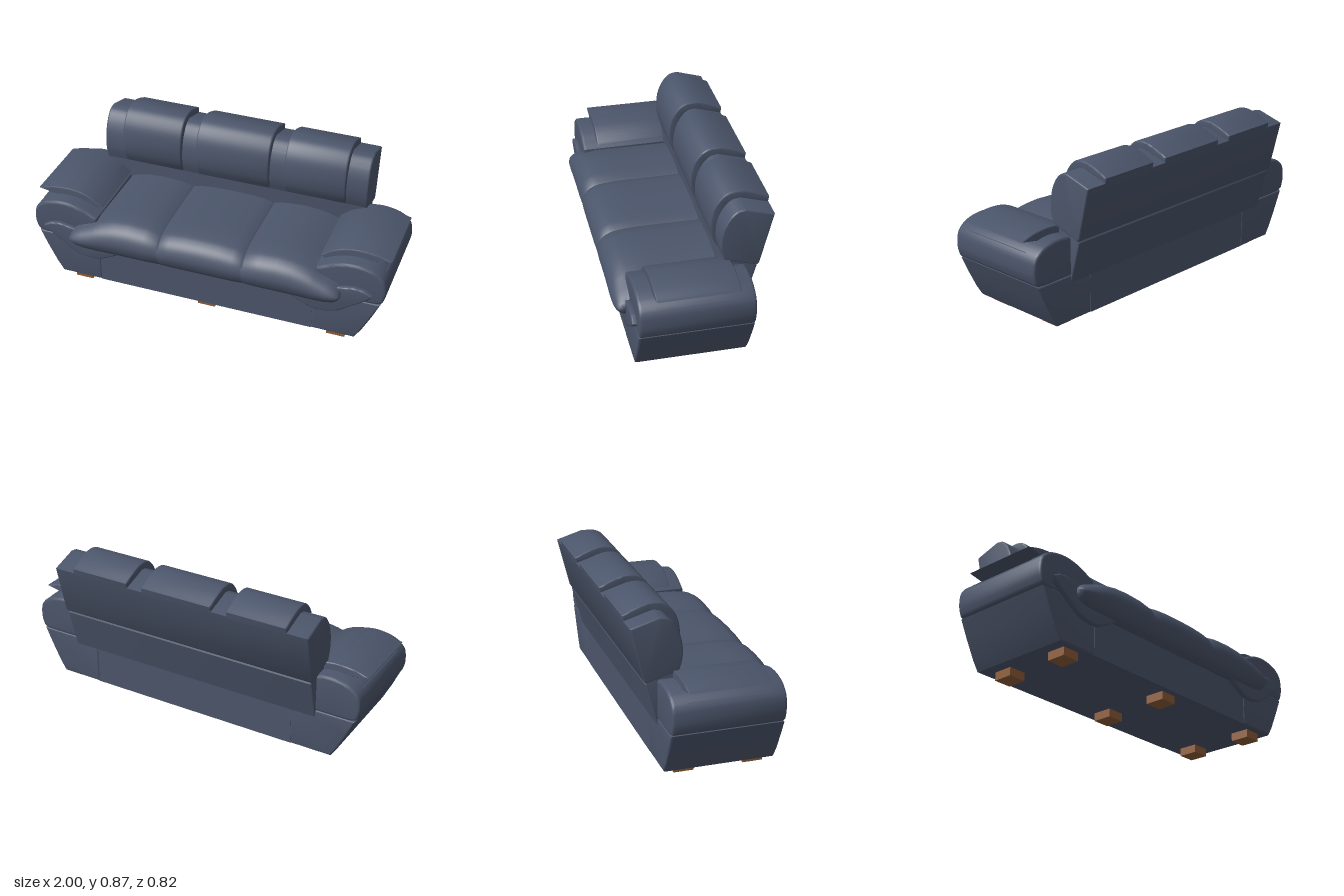
import * as THREE from 'three';
import { toCreasedNormals } from 'three/addons/utils/BufferGeometryUtils.js';

const leather = new THREE.MeshStandardMaterial({ color: 0x4b556a });
leather.name = 'slate leather';
const wood = new THREE.MeshStandardMaterial({ color: 0x8f5c38 });
wood.name = 'brown wood';

const vec = (pts) => pts.map(([a, b]) => new THREE.Vector2(a, b));
const smooth = (pts, n) => new THREE.SplineCurve(vec(pts)).getPoints(n);

// Extrude an outline from depth d0 to d1 with softly rounded rims
function slab(points, d0, d1, bevel) {
  const geo = new THREE.ExtrudeGeometry(new THREE.Shape(points), {
    depth: d1 - d0 - 2 * bevel, bevelSize: bevel, bevelThickness: bevel,
    bevelOffset: -bevel, bevelSegments: 3, steps: 1,
  });
  geo.translate(0, 0, d0 + bevel);
  return toCreasedNormals(geo, 0.6);
}

// Outline given as (z, y) pairs, extruded along x
function sideSlab(points, x0, x1, bevel) {
  const flipped = points.map((p) => new THREE.Vector2(-p.x, p.y));
  return slab(flipped, x0, x1, bevel).rotateY(Math.PI / 2);
}

// Seat cushion: cross-sections lofted along x
function seatGeometry() {
  // x, top, bottom, front z, back z
  const half = [
    [0, 0.48, 0.265, 0.408, -0.25], [0.1, 0.478, 0.265, 0.408, -0.25],
    [0.18, 0.471, 0.265, 0.407, -0.25], [0.228, 0.461, 0.266, 0.405, -0.25],
    [0.237, 0.454, 0.268, 0.402, -0.25], [0.246, 0.461, 0.266, 0.405, -0.25],
    [0.32, 0.475, 0.265, 0.408, -0.25], [0.42, 0.48, 0.265, 0.408, -0.25],
    [0.5, 0.474, 0.265, 0.408, -0.25], [0.57, 0.459, 0.265, 0.408, -0.25],
    [0.61, 0.445, 0.265, 0.408, -0.25], [0.62, 0.441, 0.265, 0.408, 0.27],
    [0.645, 0.43, 0.266, 0.407, 0.318], [0.69, 0.412, 0.268, 0.405, 0.32],
    [0.73, 0.394, 0.275, 0.399, 0.322], [0.752, 0.377, 0.287, 0.392, 0.328],
    [0.764, 0.36, 0.303, 0.383, 0.335], [0.768, 0.335, 0.33, 0.365, 0.355],
  ];
  const stations = [...half.slice(1).reverse().map(([x, ...r]) => [-x, ...r]), ...half];
  // distance behind the front, height fraction
  const section = [
    [0.66, 0], [0.3, 0], [0.09, 0], [0.06, 0.01], [0.035, 0.06], [0.014, 0.2], [0, 0.42], [0.01, 0.62],
    [0.03, 0.77], [0.06, 0.88], [0.1, 0.95], [0.2, 1], [0.4, 1], [0.66, 1],
  ];
  const profile = smooth(section, 39);
  const n = profile.length;
  const pos = [], idx = [];
  stations.forEach(([x, top, bottom, front, back], i) => {
    profile.forEach((p, j) => {
      pos.push(x, bottom + (top - bottom) * p.y, Math.max(back, front - p.x));
      if (i === stations.length - 1) return;
      const a = i * n + j, c = i * n + ((j + 1) % n);
      idx.push(a, a + n, c, a + n, c + n, c);
    });
  });
  const geo = new THREE.BufferGeometry();
  geo.setAttribute('position', new THREE.Float32BufferAttribute(pos, 3));
  geo.setIndex(idx);
  return toCreasedNormals(geo, 0.9);
}

export function createModel() {
  const group = new THREE.Group();
  const add = (name, geo, mat = leather) => {
    const mesh = new THREE.Mesh(geo, mat);
    mesh.name = name;
    group.add(mesh);
    return mesh;
  };

  // Legs
  for (const x of [-0.735, 0, 0.735]) {
    for (const z of [0.232, -0.138]) {
      add('leg', new THREE.BoxGeometry(0.1, 0.05, 0.107), wood).position.set(x, 0.025, z);
    }
  }

  // Middle of the base
  add('baseCentre', new THREE.BoxGeometry(1.22, 0.255, 0.583)).position.set(0, 0.1725, 0.03);

  // Arms: outlines for the left, mirrored for the right
  const basePoints = vec([[0.608, 0.045], [0.845, 0.045], [0.88, 0.1], [0.93, 0.2], [0.972, 0.295], [0.608, 0.295]]);
  const armPoints = smooth([
    [0.62, 0.295], [0.8, 0.292], [0.955, 0.295], [0.988, 0.33], [0.995, 0.39], [0.98, 0.45],
    [0.92, 0.495], [0.82, 0.512], [0.72, 0.495], [0.62, 0.45],
  ], 36);
  const padPoints = [
    ...smooth([[0.975, 0.46], [0.9, 0.49], [0.82, 0.5], [0.72, 0.485], [0.625, 0.45]], 12).reverse(),
    ...smooth([[0.998, 0.52], [0.92, 0.543], [0.83, 0.551], [0.75, 0.543], [0.68, 0.515], [0.62, 0.47]], 16).reverse(),
  ];
  const panelPoints = [
    ...smooth([[0.93, 0.355], [0.905, 0.325], [0.82, 0.265], [0.74, 0.213], [0.63, 0.196], [0.54, 0.23], [0.46, 0.275]], 20),
    ...smooth([[0.48, 0.33], [0.62, 0.35], [0.76, 0.372], [0.83, 0.385], [0.89, 0.378]], 12),
  ];
  for (const side of [1, -1]) {
    const mirror = (pts) => (side > 0 ? pts : pts.map((p) => new THREE.Vector2(-p.x, p.y)));
    const label = side > 0 ? 'left' : 'right';
    add(label + 'ArmBase', slab(mirror(basePoints), -0.265, 0.325, 0.012));
    add(label + 'Arm', slab(mirror(armPoints), -0.265, 0.325, 0.015));
    add(label + 'ArmPad', slab(mirror(padPoints), -0.185, 0.242, 0.006));
    add(label + 'FrontPanel', slab(mirror(panelPoints), 0.31, 0.349, 0.008));
  }

  add('seatCushion', seatGeometry());

  // Sloping board that carries the backrest
  add('backSupport', sideSlab(vec([[-0.265, 0.255], [-0.327, 0.482], [-0.318, 0.5], [-0.15, 0.546], [-0.15, 0.255]]),
    -0.75, 0.75, 0.006));

  // Backrest
  const backPoints = [
    ...vec([[-0.405, 0.785], [-0.337, 0.505], [-0.325, 0.492]]),
    ...smooth([[-0.155, 0.54], [-0.138, 0.6], [-0.136, 0.66], [-0.148, 0.725], [-0.178, 0.785], [-0.215, 0.82], [-0.258, 0.829]], 20),
  ];
  add('backrest', sideSlab(backPoints, -0.76, 0.76, 0.008));

  // Three head cushions wrapped over the backrest
  const headPoints = [
    ...smooth([[-0.15, 0.548], [-0.12, 0.61], [-0.111, 0.69], [-0.125, 0.77], [-0.158, 0.825],
      [-0.2, 0.857], [-0.26, 0.865], [-0.33, 0.848], [-0.41, 0.812]], 28),
    ...vec([[-0.403, 0.775], [-0.27, 0.8], [-0.21, 0.78], [-0.17, 0.72], [-0.158, 0.65]]),
  ];
  for (const [x0, x1] of [[-0.642, -0.298], [-0.21, 0.21], [0.298, 0.642]]) {
    add('headCushion', sideSlab(headPoints, x0, x1, 0.008));
  }
  return group;
}
